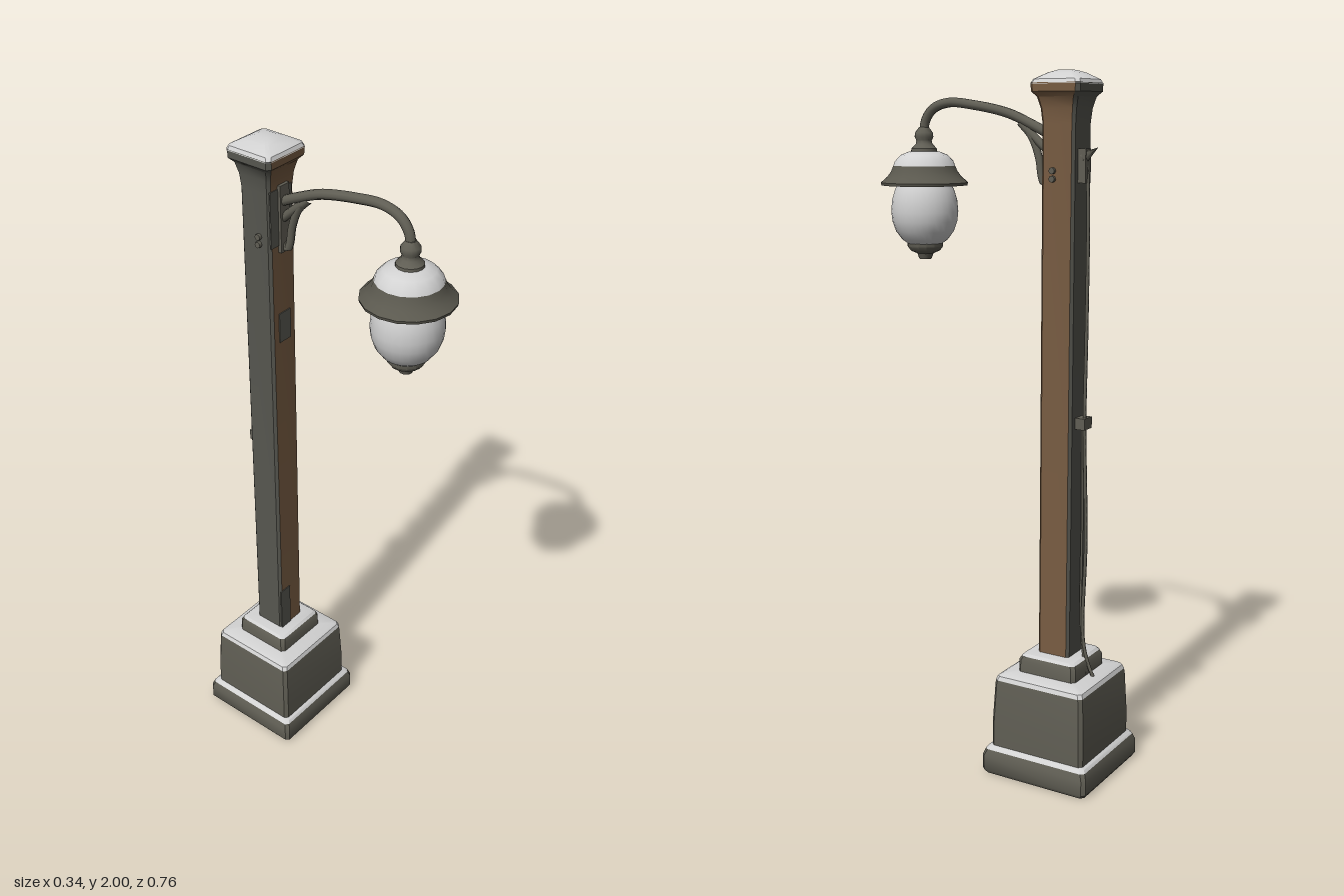
import * as THREE from 'three';
import { toCreasedNormals } from 'three/addons/utils/BufferGeometryUtils.js';

const POST_Z = -0.213;
const LAMP_Z = 0.25;

function mat(name, color, side = THREE.FrontSide) {
  const m = new THREE.MeshStandardMaterial({ color, side });
  m.name = name;
  return m;
}

// Square tower with bevelled corners from [halfWidth, y] rows; columns 0..8 run
// front, right, back, left, so part of the way round can be built on its own.
function squareLoft(rows, from = 0, to = 8) {
  const pos = [], index = [];
  const n = rows.length;
  for (let k = from; k <= to; k++) {
    for (const [h, y] of rows) {
      const s = h - Math.min(0.01, h * 0.15);
      const ring = [[-s, h], [s, h], [h, s], [h, -s], [s, -h], [-s, -h], [-h, -s], [-h, s]];
      const [x, z] = ring[k % 8];
      pos.push(x, y, z);
    }
  }
  for (let k = 0; k < to - from; k++) {
    for (let j = 0; j < n - 1; j++) {
      const a = k * n + j, b = a + n;
      index.push(a, b, a + 1, b + 1, a + 1, b);
    }
  }
  const g = new THREE.BufferGeometry();
  g.setAttribute('position', new THREE.Float32BufferAttribute(pos, 3));
  g.setIndex(index);
  return toCreasedNormals(g, 0.6);
}

function lathe(points, segments) {
  const g = new THREE.LatheGeometry(points.map(([r, y]) => new THREE.Vector2(r, y)), segments);
  return toCreasedNormals(g, 0.7);
}

function tube(points, radius, segments = 24, sides = 8) {
  const curve = new THREE.CatmullRomCurve3(points.map((p) => new THREE.Vector3(...p)));
  return new THREE.TubeGeometry(curve, segments, radius, sides);
}

export function createModel() {
  const model = new THREE.Group();
  const metal = mat('weathered metal', 0x605e54);
  const shadeMetal = mat('shade metal', 0x5a584e, THREE.DoubleSide);
  const wood = mat('brown wood', 0x795d43);
  const greyWood = mat('grey wood', 0x575750);
  const snow = mat('snow', 0xd2d2d2);
  const glass = mat('frosted glass', 0xcfcfcf);

  const add = (name, geometry, material, x = 0, y = 0, z = 0) => {
    const m = new THREE.Mesh(geometry, material);
    m.name = name;
    m.position.set(x, y, z);
    model.add(m);
    return m;
  };
  const box = (name, material, w, h, d, x, y, z) =>
    add(name, new THREE.BoxGeometry(w, h, d), material, x, y, z);

  // Stepped base with snow lying on each ledge
  add('plinth', squareLoft([[0, 0], [0.162, 0], [0.17, 0.012], [0.17, 0.055], [0.163, 0.074]]), metal, 0, 0, POST_Z);
  add('plinthSnow', squareLoft([[0.163, 0.074], [0.157, 0.082], [0.147, 0.086]]), snow, 0, 0, POST_Z);
  add('baseBlock', squareLoft([[0.149, 0.08], [0.149, 0.15], [0.143, 0.275], [0.141, 0.288]]), metal, 0, 0, POST_Z);
  add('baseSnow', squareLoft([[0.142, 0.286], [0.137, 0.298], [0.127, 0.304], [0.085, 0.308]]), snow, 0, 0, POST_Z);
  add('step', squareLoft([[0.093, 0.3], [0.092, 0.342], [0.086, 0.354]]), metal, 0, 0, POST_Z);
  add('stepSnow', squareLoft([[0.087, 0.353], [0.08, 0.36], [0.045, 0.362]]), snow, 0, 0, POST_Z);

  // Post flaring into its cap: brown on the front and +x sides, grey elsewhere
  const post = [[0.05, 0.35], [0.05, 1.86], [0.054, 1.9], [0.062, 1.93], [0.074, 1.943], [0.075, 1.966]];
  add('postBrownSides', squareLoft(post, 0, 3), wood, 0, 0, POST_Z);
  add('postGreySides', squareLoft(post, 3, 8), greyWood, 0, 0, POST_Z);
  add('capSnow', squareLoft([[0.0755, 1.963], [0.07, 1.975], [0.04, 1.992], [0.02, 1.999], [0, 2]]), snow, 0, 0, POST_Z);

  // Worn grey patches on the front of the post
  const front = POST_Z + 0.051;
  box('upperWear', greyWood, 0.085, 0.16, 0.004, -0.006, 1.79, front);
  box('middleWear', greyWood, 0.046, 0.09, 0.004, 0, 1.46, front);
  box('lowerWear', greyWood, 0.042, 0.15, 0.004, -0.028, 0.437, front);

  // Curved arm, lower brace and mounting plate
  add('arm', tube([
    [0, 1.82, LAMP_Z], [0, 1.865, 0.245], [0, 1.9, 0.218], [0, 1.917, 0.165],
    [0, 1.91, 0.08], [0, 1.888, -0.03], [0, 1.86, -0.1], [0, 1.825, -0.175],
  ], 0.0135, 40, 10), metal);
  add('armBrace', tube([
    [0, 1.862, -0.07], [0, 1.825, -0.105], [0, 1.77, -0.128], [0, 1.715, -0.138],
    [0, 1.7, -0.146], [0, 1.722, -0.17],
  ], 0.011, 28), metal);
  add('armGusset', tube([[0, 1.845, -0.09], [0, 1.81, -0.13], [0, 1.775, -0.17]], 0.012, 10), metal);
  box('mountPlate', metal, 0.036, 0.19, 0.014, 0, 1.785, front + 0.003);

  // Hanging lamp
  add('lampCollar', lathe([
    [0.038, 1.776], [0.037, 1.79], [0.024, 1.803], [0.022, 1.812],
    [0.027, 1.822], [0.026, 1.834], [0.014, 1.85], [0, 1.852],
  ], 14), metal, 0, 0, LAMP_Z);
  add('shadeBrim', lathe([
    [0.06, 1.7], [0.1, 1.693], [0.125, 1.687], [0.127, 1.695],
    [0.108, 1.711], [0.097, 1.726], [0.09, 1.742],
  ], 16), shadeMetal, 0, 0, LAMP_Z);
  add('shadeSnow', lathe([
    [0.093, 1.734], [0.085, 1.755], [0.068, 1.772], [0.045, 1.781], [0.02, 1.785],
  ], 16), snow, 0, 0, LAMP_Z);
  add('globe', lathe([
    [0.045, 1.517], [0.066, 1.532], [0.084, 1.556], [0.094, 1.585], [0.097, 1.612],
    [0.094, 1.645], [0.085, 1.675], [0.07, 1.7],
  ], 28), glass, 0, 0, LAMP_Z);
  add('globeFinial', lathe([
    [0, 1.474], [0.018, 1.476], [0.024, 1.492], [0.043, 1.5], [0.052, 1.512], [0.052, 1.526], [0.04, 1.53],
  ], 14), metal, 0, 0, LAMP_Z);

  // Cable down the back with its junction box and clamp
  add('cable', tube([
    [0.012, 1.77, -0.28], [0.012, 1.68, -0.287], [0.004, 1.3, -0.284], [0.006, 1.05, -0.283],
    [0, 0.7, -0.289], [0.004, 0.42, -0.286], [0.008, 0.35, -0.302], [0.01, 0.3, -0.325],
  ], 0.005, 60, 6), metal);
  add('cableBranch', tube([
    [0.006, 1.05, -0.275], [-0.012, 0.8, -0.27], [0.002, 0.42, -0.28], [0.018, 0.31, -0.305],
  ], 0.004, 30, 6), metal);
  box('junctionBox', metal, 0.03, 0.09, 0.028, 0.012, 1.75, -0.272);
  add('junctionCone', new THREE.ConeGeometry(0.016, 0.05, 6), metal, 0.014, 1.785, -0.295).rotation.x = -1.0;
  box('cableClamp', metal, 0.044, 0.032, 0.034, 0.004, 1.047, -0.276);

  // Bolts on both sides of the post
  for (const side of [-1, 1]) {
    for (const y of [1.715, 1.737]) {
      const bolt = add('sideBolt', new THREE.CylinderGeometry(0.009, 0.009, 0.012, 8), metal, side * 0.053, y, -0.2);
      bolt.rotation.z = Math.PI / 2;
    }
  }
  return model;
}
